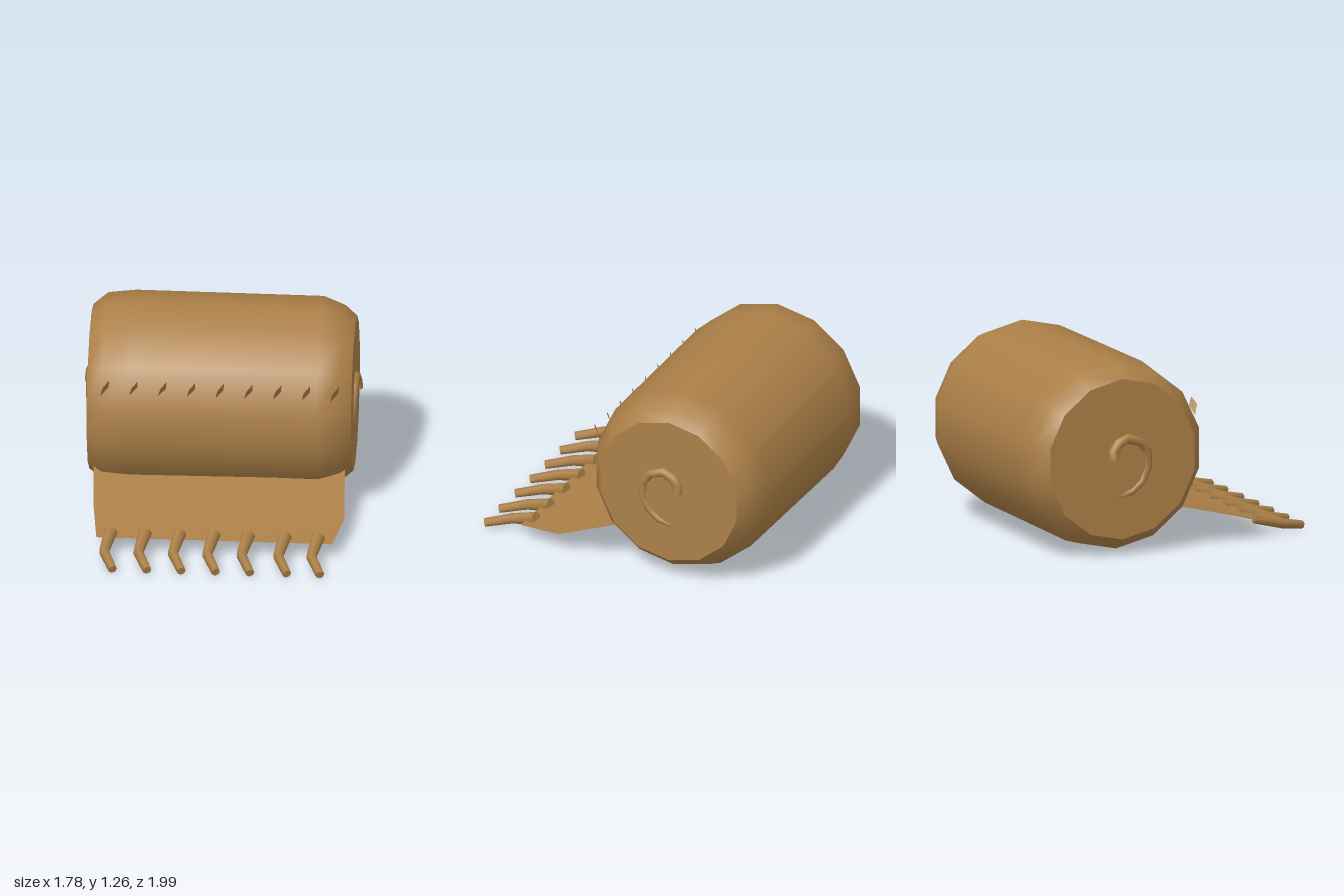
import * as THREE from 'three';

const V = (x, y, z) => new THREE.Vector3(x, y, z);

// Tapered tube with flat end caps, swept along a list of points
function taperedTube(points, radii, sides) {
  const pos = [], idx = [];
  const n = points.length;
  const rings = points.map((p, i) => {
    const t = points[Math.min(i + 1, n - 1)].clone().sub(points[Math.max(i - 1, 0)]).normalize();
    const ref = Math.abs(t.x) < 0.8 ? V(1, 0, 0) : V(0, 1, 0);
    const u = ref.addScaledVector(t, -ref.dot(t)).normalize();
    const w = t.clone().cross(u);
    return Array.from({ length: sides }, (_, k) => {
      const a = (k / sides) * Math.PI * 2;
      return p.clone().addScaledVector(u, Math.cos(a) * radii[i]).addScaledVector(w, Math.sin(a) * radii[i]);
    });
  });
  rings.forEach((ring) => ring.forEach((v) => pos.push(v.x, v.y, v.z)));
  for (let i = 0; i < n - 1; i++) {
    for (let k = 0; k < sides; k++) {
      const a = i * sides + k, b = i * sides + ((k + 1) % sides);
      idx.push(a, b, a + sides, b, b + sides, a + sides);
    }
  }
  // caps use their own vertices so the rims stay sharp
  [rings[0], rings[n - 1]].forEach((ring, end) => {
    const start = pos.length / 3;
    ring.forEach((v) => pos.push(v.x, v.y, v.z));
    for (let k = 1; k < sides - 1; k++) {
      if (end) idx.push(start, start + k, start + k + 1);
      else idx.push(start, start + k + 1, start + k);
    }
  });
  return surface(pos, idx);
}

function surface(pos, idx) {
  const g = new THREE.BufferGeometry();
  g.setAttribute('position', new THREE.Float32BufferAttribute(pos, 3));
  g.setIndex(idx);
  g.computeVertexNormals();
  return g;
}

export function createModel() {
  const group = new THREE.Group();
  const cloth = new THREE.MeshStandardMaterial({ color: 0xab7f47, side: THREE.DoubleSide });
  cloth.name = 'tan cloth';
  const add = (name, geometry, parent = group) => {
    const mesh = new THREE.Mesh(geometry, cloth);
    mesh.name = name;
    parent.add(mesh);
    return mesh;
  };

  const SIDES = 14, CY = 0.64, CZ = -0.39;

  // Rolled body, lying along x
  const profile = [[0.525, -0.845], [0.603, -0.75], [0.623, -0.57], [0.615, 0.63], [0.56, 0.77], [0.495, 0.845]]
    .map(([r, x]) => new THREE.Vector2(r, x));
  const roll = new THREE.LatheGeometry(profile, SIDES);
  roll.rotateZ(-Math.PI / 2).rotateX(-Math.PI / 2).translate(0, CY, CZ);
  add('roll', roll);

  // Flat ends
  for (const [side, r, name] of [[1, 0.495, 'leftEnd'], [-1, 0.525, 'rightEnd']]) {
    const cap = new THREE.CircleGeometry(r, SIDES, Math.PI / 2);
    cap.rotateY(side * Math.PI / 2).translate(side * 0.845, CY, CZ);
    add(name, cap);
  }

  // Spiral ridge on each end, sinking into the cap at its tail
  const spiral = [
    [-0.455, 0.645], [-0.455, 0.70], [-0.42, 0.745], [-0.355, 0.772], [-0.26, 0.74], [-0.21, 0.67],
    [-0.205, 0.57], [-0.245, 0.48], [-0.315, 0.42], [-0.395, 0.397], [-0.49, 0.425], [-0.57, 0.48],
  ];
  for (const side of [1, -1]) {
    const pts = spiral.map(([z, y], i) => V(side * (0.856 - 0.0036 * i), y, z));
    const radii = spiral.map((_, i) => 0.035 - 0.001 * i);
    add(side > 0 ? 'leftSpiral' : 'rightSpiral', taperedTube(pts, radii, 8));
  }

  // Loose flap running out in front of the roll
  const rows = [
    [V(-0.81, 0.295, -0.01), V(0.8, 0.3, -0.02)],
    [V(-0.785, 0.185, 0.4), V(0.82, 0.14, 0.4)],
    [V(-0.75, 0.11, 0.69), V(0.76, 0.11, 0.7)],
  ];
  const flapPos = rows.flat().flatMap((v) => v.toArray());
  add('flap', surface(flapPos, [0, 2, 1, 1, 2, 3, 2, 4, 3, 3, 4, 5]));

  // Bent tassels along the flap's edge
  const fringe = new THREE.Group();
  fringe.name = 'fringe';
  group.add(fringe);
  for (const x of [-0.66, -0.44, -0.22, 0, 0.22, 0.455, 0.667]) {
    const path = [V(x, 0.126, 0.635), V(x - 0.033, 0.073, 0.815), V(x + 0.032, 0.034, 0.985)];
    add('tassel', taperedTube(path, [0.044, 0.034, 0.028], 7), fringe);
  }

  // Row of small stitches on the front of the roll
  const stitches = new THREE.Group();
  stitches.name = 'stitches';
  group.add(stitches);
  for (let i = 0; i < 9; i++) {
    const x = -0.725 + i * 0.184;
    const stitch = surface([
      0.025, 0.968, 0.168, -0.015, 0.925, 0.19, -0.032, 0.855, 0.168, 0.022, 0.912, 0.15,
    ], [0, 1, 3, 1, 2, 3]);
    add('stitch', stitch, stitches).position.x = x;
  }

  return group;
}
